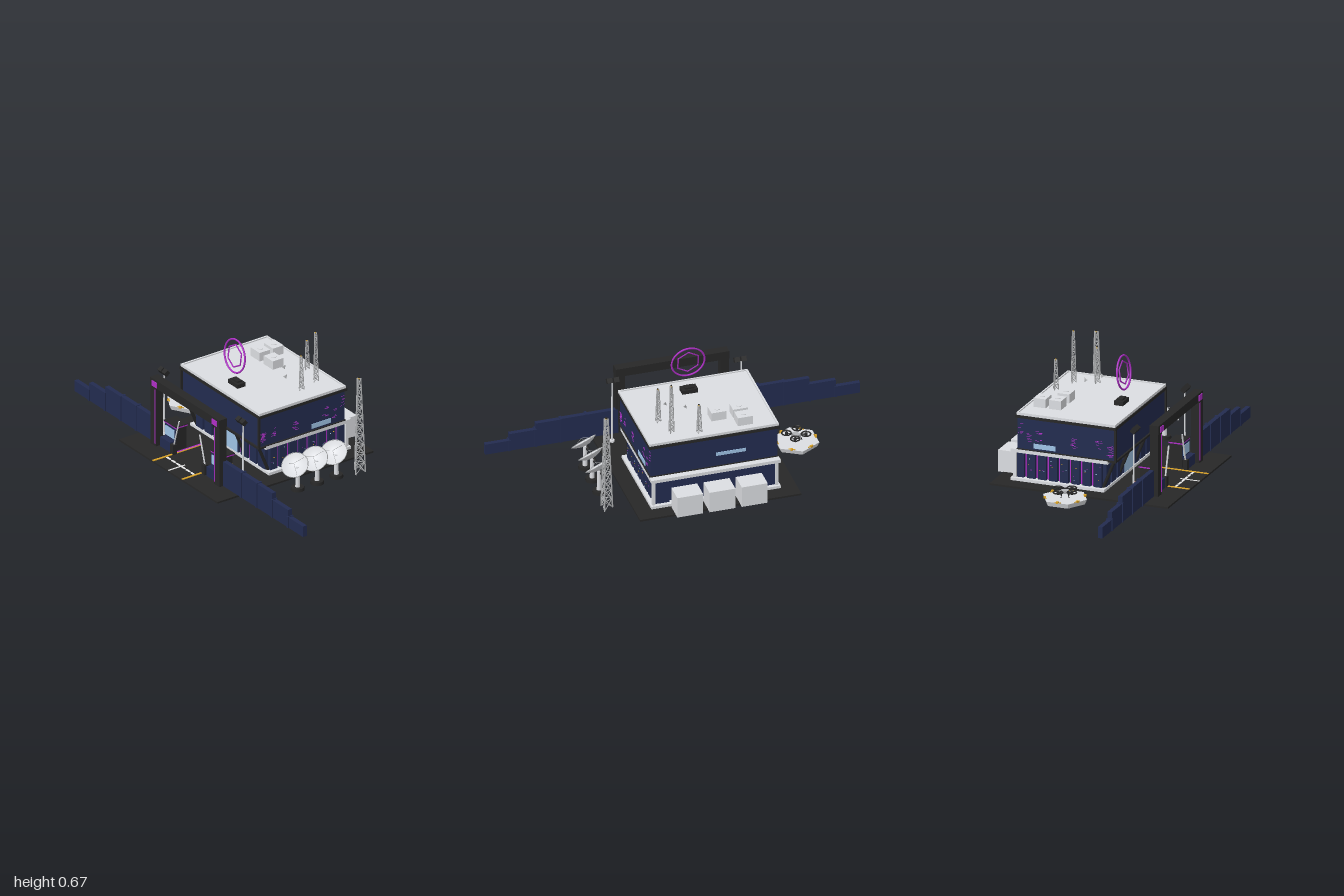
import * as THREE from 'three';
import { mergeGeometries } from 'three/addons/utils/BufferGeometryUtils.js';

const mat = (name, color, side = THREE.FrontSide) => {
  const m = new THREE.MeshStandardMaterial({ color, side });
  m.name = name;
  return m;
};

export function createModel() {
  const charcoal = mat('charcoal', 0x272727);
  const navy = mat('navy', 0x232c50);
  const concrete = mat('light grey', 0xdcdee2);
  const steel = mat('steel', 0xb2b4b6);
  const purple = mat('purple glow', 0xb030c8);
  const amber = mat('amber', 0xdca428);
  const glass = mat('window blue', 0xa4caee);
  const dishGrey = mat('dish grey', 0xdcdee2, THREE.DoubleSide);
  const white = mat('marking white', 0xf4f4f4);

  const model = new THREE.Group();
  const add = (name, geo, material, parent = model) => {
    const m = new THREE.Mesh(geo, material);
    m.name = name;
    parent.add(m);
    return m;
  };
  const group = (name, x = 0, y = 0, z = 0, parent = model) => {
    const g = new THREE.Group();
    g.name = name;
    g.position.set(x, y, z);
    parent.add(g);
    return g;
  };
  // Box given by its min and max along each axis
  const span = (x0, x1, y0, y1, z0, z1) =>
    new THREE.BoxGeometry(x1 - x0, y1 - y0, z1 - z0).translate((x0 + x1) / 2, (y0 + y1) / 2, (z0 + z1) / 2);
  const box = (name, x0, x1, y0, y1, z0, z1, material, parent) => add(name, span(x0, x1, y0, y1, z0, z1), material, parent);
  // Straight bar between two points
  const bar = (a, b, r, sides = 4) => {
    const d = new THREE.Vector3().subVectors(b, a);
    const g = new THREE.CylinderGeometry(r, r, d.length(), sides);
    g.applyQuaternion(new THREE.Quaternion().setFromUnitVectors(new THREE.Vector3(0, 1, 0), d.clone().normalize()));
    return g.translate((a.x + b.x) / 2, (a.y + b.y) / 2, (a.z + b.z) / 2);
  };
  const V = (x, y, z) => new THREE.Vector3(x, y, z);
  let seed = 7;
  const rnd = () => (seed = (seed * 16807) % 2147483647) / 2147483647;

  // Ground slab and lane markings
  box('groundSlab', -0.505, 0.475, 0.005, 0.015, -0.43, 0.43, charcoal);
  box('laneLineRight', -0.505, -0.19, 0.015, 0.018, 0.115, 0.127, amber);
  box('laneLineLeft', -0.505, -0.35, 0.015, 0.018, -0.14, -0.128, amber);
  box('laneGlow', -0.35, -0.2, 0.015, 0.018, -0.145, -0.134, purple);
  box('laneLineInner', -0.35, -0.2, 0.015, 0.018, -0.134, -0.129, amber);
  box('centreMarking', -0.505, -0.4, 0.015, 0.017, -0.004, 0.004, white);
  for (let i = 0; i < 6; i++) {
    const z = -0.125 + i * 0.042;
    box('stopMarking', -0.43, -0.418, 0.015, 0.017, z, z + 0.034, white);
  }

  // Lower storey: body, ledges, corner posts, pilasters and glow strips
  const lower = group('lowerStorey');
  box('lowerBody', -0.1, 0.36, 0.03, 0.17, -0.305, 0.305, navy, lower);
  box('plinth', -0.12, 0.395, 0.015, 0.03, -0.345, 0.345, concrete, lower);
  box('ledge', -0.14, 0.395, 0.168, 0.186, -0.345, 0.345, concrete, lower);
  for (const s of [-1, 1]) {
    box('cornerPost', 0.368, 0.384, 0.03, 0.168, s * 0.328 - 0.008, s * 0.328 + 0.008, concrete, lower);
    for (let i = 0; i < 8; i++) {
      const x = -0.075 + i * 0.061;
      box('pilaster', x - 0.022, x + 0.022, 0.03, 0.168, s * 0.312 - 0.012, s * 0.312 + 0.012, navy, lower);
      if (i === 7) continue;
      box('recess', x + 0.022, x + 0.03, 0.03, 0.168, s * 0.307 - 0.006, s * 0.307 + 0.006, charcoal, lower);
      box('glowStrip', x + 0.027, x + 0.033, 0.035, 0.165, s * 0.313 - 0.003, s * 0.313 + 0.003, purple, lower);
      for (let k = 0; k < 3; k++) {
        const px = x - 0.018 + rnd() * 0.03, py = 0.045 + rnd() * 0.1;
        box('statusLight', px, px + 0.006, py, py + 0.003, s * 0.324 - 0.002, s * 0.324 + 0.002, [purple, amber, glass][k], lower);
      }
    }
  }
  for (let i = 0; i < 8; i++) {
    const z = -0.273 + i * 0.078;
    box('endPilaster', 0.355, 0.375, 0.03, 0.168, z - 0.03, z + 0.03, navy, lower);
    box('entrancePilaster', -0.115, -0.1, 0.03, 0.168, z - 0.03, z + 0.03, navy, lower);
    if (i < 7) box('entranceGlow', -0.108, -0.1, 0.035, 0.165, z + 0.036, z + 0.042, purple, lower);
  }
  box('entranceGlass', -0.118, -0.113, 0.03, 0.13, -0.06, 0.06, glass, lower);

  // Upper storey with dark trims and roof
  const upper = group('upperStorey');
  box('upperBody', -0.175, 0.358, 0.188, 0.36, -0.338, 0.338, navy, upper);
  box('lowerTrim', -0.185, 0.362, 0.18, 0.191, -0.344, 0.344, charcoal, upper);
  box('cornice', -0.185, 0.368, 0.357, 0.372, -0.348, 0.348, charcoal, upper);
  box('roofSlab', -0.18, 0.36, 0.372, 0.38, -0.342, 0.342, concrete, upper);
  for (const s of [-1, 1]) {
    box('roofRim', -0.18, 0.362, 0.372, 0.386, s * 0.34 - 0.005, s * 0.34 + 0.005, concrete, upper);
    box('cornerTrim', -0.185, -0.173, 0.19, 0.358, s * 0.338 - 0.005, s * 0.338 + 0.005, charcoal, upper);
    box('sideWindow', 0.15, 0.27, 0.2, 0.226, s * 0.339 - 0.002, s * 0.339 + 0.002, glass, upper);
    // Clusters of thin purple lines on the long walls
    for (const [cx, cy, n] of [[-0.155, 0.235, 18], [-0.09, 0.26, 7], [0.05, 0.25, 11], [0.24, 0.27, 8], [0.3, 0.25, 6], [0.345, 0.3, 6]])
      for (let k = 0; k < n; k++) {
        const x = cx + (rnd() - 0.5) * 0.025, y = cy + (rnd() - 0.5) * 0.06, w = 0.005 + rnd() * 0.008;
        box('purpleLine', Math.max(x - w, -0.17), Math.min(x + w, 0.357), y, y + 0.002, s * 0.3385 - 0.001, s * 0.3385 + 0.001, purple, upper);
      }
    // Raking struts under the overhang
    for (const z of [0.31, 0.11])
      add('strut', bar(V(-0.165, 0.185, s * z), V(-0.1, 0.025, s * z), 0.009), charcoal, upper);
  }
  for (const x of [-0.176, 0.358]) box('roofRim', x - 0.004, x + 0.004, 0.372, 0.386, -0.342, 0.342, concrete, upper);
  box('endWindow', 0.356, 0.361, 0.25, 0.269, -0.17, -0.01, glass, upper);

  // Equipment boxes beside the building and on the roof
  for (const z of [-0.172, 0, 0.172]) box('storageUnit', 0.4, 0.505, 0.013, 0.13, z - 0.069, z + 0.069, concrete);
  for (const [x, z] of [[0.202, -0.18], [0.286, -0.18], [0.202, -0.065]]) {
    box('roofUnit', x - 0.033, x + 0.033, 0.38, 0.428, z - 0.04, z + 0.04, concrete);
    add('roofUnitFan', new THREE.CylinderGeometry(0.014, 0.014, 0.004, 12).translate(x, 0.429, z), concrete);
  }

  // Tilted sign ring above a projector
  box('projector', -0.1, -0.05, 0.38, 0.402, -0.042, 0.042, charcoal);
  box('projectorTop', -0.09, -0.06, 0.402, 0.411, -0.025, 0.025, charcoal);
  const sign = group('signRing', -0.088, 0.548, 0);
  sign.rotation.z = -0.13;
  add('ring', new THREE.TorusGeometry(0.088, 0.005, 6, 40).rotateY(Math.PI / 2), purple, sign);
  add('hexagon', new THREE.TorusGeometry(0.062, 0.0045, 4, 6).rotateZ(Math.PI / 6).rotateY(Math.PI / 2), purple, sign);

  // Triangular lattice mast
  const mast = (name, x, y, z, h, r0, r1, bays, t) => {
    const g = group(name, x, y, z);
    const at = (i, k) => {
      const r = r0 + (r1 - r0) * i / bays, a = -Math.PI / 2 + k * Math.PI * 2 / 3;
      return V(r * Math.cos(a), h * i / bays, r * Math.sin(a));
    };
    const parts = [];
    for (let k = 0; k < 3; k++) {
      parts.push(bar(at(0, k), at(bays, k), t));
      for (let i = 0; i < bays; i++) {
        parts.push(bar(at(i, k), at(i + 1, k + 1), t * 0.6), bar(at(i, k + 1), at(i + 1, k), t * 0.6));
        parts.push(bar(at(i + 1, k), at(i + 1, k + 1), t * 0.6));
      }
    }
    add('lattice', mergeGeometries(parts), steel, g);
    add('beacon', new THREE.CylinderGeometry(r1 * 0.6, r1 * 0.6, 0.009, 8).translate(0, h + 0.001, 0), amber, g);
    add('beaconCap', new THREE.CylinderGeometry(r1 * 0.65, r1 * 0.65, 0.002, 8).translate(0, h + 0.0065, 0), charcoal, g);
  };
  mast('groundMast', 0.291, 0, 0.555, 0.537, 0.035, 0.011, 10, 0.004);
  mast('roofMast', 0.157, 0.38, 0.237, 0.192, 0.016, 0.007, 7, 0.0024);
  mast('roofMast', 0.273, 0.38, 0.202, 0.277, 0.016, 0.007, 10, 0.0024);
  mast('roofMast', 0.315, 0.38, 0.067, 0.162, 0.016, 0.007, 6, 0.0024);
  for (const [x, z] of [[0.105, 0.18], [0.16, 0.09]])
    add('smallAntenna', new THREE.ConeGeometry(0.012, 0.022, 3).rotateZ(-0.7).translate(x, 0.45, z), steel);

  // Dish antennas
  const aim = new THREE.Quaternion().setFromUnitVectors(V(0, 1, 0), V(-0.54, 0.77, 0.34).normalize());
  const bowl = [[0, 0], [0.025, 0.003], [0.05, 0.012], [0.07, 0.024]].map(p => new THREE.Vector2(...p));
  for (const x of [-0.088, 0.034, 0.155]) {
    const g = group('dishAntenna', x, 0, 0.55);
    add('footing', new THREE.CylinderGeometry(0.034, 0.036, 0.017, 12).translate(0, 0.021, 0), charcoal, g);
    add('pole', new THREE.CylinderGeometry(0.01, 0.013, 0.115, 10).translate(0, 0.085, 0), concrete, g);
    const head = group('dishHead', -0.006, 0.141, -0.006, g);
    head.quaternion.copy(aim);
    add('bowl', new THREE.LatheGeometry(bowl, 24), dishGrey, head);
    add('rim', new THREE.TorusGeometry(0.07, 0.002, 4, 24).rotateX(Math.PI / 2).translate(0, 0.024, 0), steel, head);
    const ribs = [];
    for (let k = 0; k < 3; k++) {
      const a = k * Math.PI * 2 / 3;
      ribs.push(bar(V(0.06 * Math.cos(a), 0.019, 0.06 * Math.sin(a)), V(0, 0.045, 0), 0.001));
    }
    add('feedArms', mergeGeometries(ribs), steel, head);
    add('mount', new THREE.CylinderGeometry(0.012, 0.012, 0.02, 8).translate(0, -0.012, 0), charcoal, head);
  }

  // Gate portal, booths, barrier arms, floodlights and stepped walls on both sides
  box('gateBeam', -0.402, -0.353, 0.35, 0.396, -0.302, 0.302, charcoal);
  const steps = [[0.29, 0.46, 0.155], [0.46, 0.595, 0.155], [0.595, 0.73, 0.152], [0.73, 0.87, 0.115], [0.87, 1, 0.075]];
  for (const s of [-1, 1]) {
    const side = group(s > 0 ? 'frontGateSide' : 'backGateSide');
    const zbox = (name, x0, x1, y0, y1, a, b, m) => box(name, x0, x1, y0, y1, Math.min(s * a, s * b), Math.max(s * a, s * b), m, side);
    zbox('gateColumn', -0.4, -0.355, 0.015, 0.36, 0.255, 0.302, charcoal);
    zbox('columnGlow', -0.403, -0.399, 0.03, 0.34, 0.258, 0.263, purple);
    zbox('beamPanel', -0.406, -0.401, 0.355, 0.385, 0.24, 0.285, purple);
    for (const [a, b, h] of steps) {
      zbox('wallPanel', -0.377, -0.353, 0.015, h, a, b, navy);
      if (a > 0.3) zbox('wallPost', -0.382, -0.348, 0.015, h + 0.004, a - 0.006, a + 0.006, navy);
    }
    zbox('booth', -0.345, -0.28, 0.015, 0.14, 0.155, 0.25, charcoal);
    zbox('boothFront', -0.38, -0.345, 0.015, 0.07, 0.16, 0.245, navy);
    zbox('boothPanel', -0.348, -0.344, 0.07, 0.138, 0.156, 0.249, navy);
    zbox('boothWindow', -0.351, -0.347, 0.078, 0.13, 0.163, 0.242, glass);
    zbox('boothTrim', -0.348, -0.272, 0.141, 0.149, 0.152, 0.254, purple);
    zbox('boothRoof', -0.35, -0.27, 0.149, 0.153, 0.15, 0.256, charcoal);
    zbox('barrierPost', -0.385, -0.36, 0.015, 0.07, 0.125, 0.15, charcoal);
    add('barrierArm', bar(V(-0.372, 0.06, s * 0.137), V(-0.372, 0.22, s * 0.09), 0.005), concrete, side);
    add('lampPole', new THREE.CylinderGeometry(0.004, 0.006, 0.355, 8).translate(-0.283, 0.192, s * 0.345), concrete, side);
    add('lampFoot', new THREE.CylinderGeometry(0.013, 0.014, 0.01, 10).translate(-0.283, 0.02, s * 0.345), concrete, side);
    for (const d of [-0.018, 0.018])
      add('floodlight', new THREE.BoxGeometry(0.026, 0.026, 0.028).rotateZ(0.6).translate(-0.29, 0.378, s * 0.34 + d), charcoal, side);
  }

  // Hexagonal landing pad
  const pad = group('landingPad', 0.014, 0, -0.545);
  const deck = new THREE.CylinderGeometry(0.121, 0.11, 0.026, 6).rotateY(Math.PI / 6).toNonIndexed();
  deck.computeVertexNormals();
  add('padDeck', deck.translate(0, 0.027, 0), concrete, pad);
  for (let i = 0; i < 6; i++) {
    const a = i * Math.PI / 3;
    add('edgeMark', new THREE.BoxGeometry(0.035, 0.004, 0.005).translate(0, 0.041, 0.1).rotateY(a), amber, pad);
    add('edgeLight', new THREE.BoxGeometry(0.012, 0.01, 0.012).translate(0, 0.043, 0.104).rotateY(a), amber, pad);
  }

  // Four-rotor drone parked on the pad
  const drone = group('drone', 0, 0, 0, pad);
  drone.rotation.y = 0.39;
  add('droneBody', new THREE.BoxGeometry(0.04, 0.016, 0.028).translate(0, 0.068, 0), steel, drone);
  for (let i = 0; i < 4; i++) {
    const a = Math.PI / 4 + i * Math.PI / 2, x = 0.05 * Math.cos(a), z = 0.05 * Math.sin(a);
    add('rotorGuard', new THREE.TorusGeometry(0.024, 0.004, 5, 18).rotateX(Math.PI / 2).translate(x, 0.076, z), charcoal, drone);
    add('rotorArm', bar(V(0, 0.07, 0), V(x, 0.074, z), 0.003), charcoal, drone);
    add('rotorHub', new THREE.CylinderGeometry(0.008, 0.008, 0.01, 10).translate(x, 0.075, z), charcoal, drone);
    add('rotorBlade', new THREE.BoxGeometry(0.044, 0.002, 0.005).rotateY(a).translate(x, 0.078, z), charcoal, drone);
    add('landingLeg', bar(V(x * 0.4, 0.066, z * 0.4), V(x * 0.6, 0.04, z * 0.6), 0.002), charcoal, drone);
  }
  return model;
}
